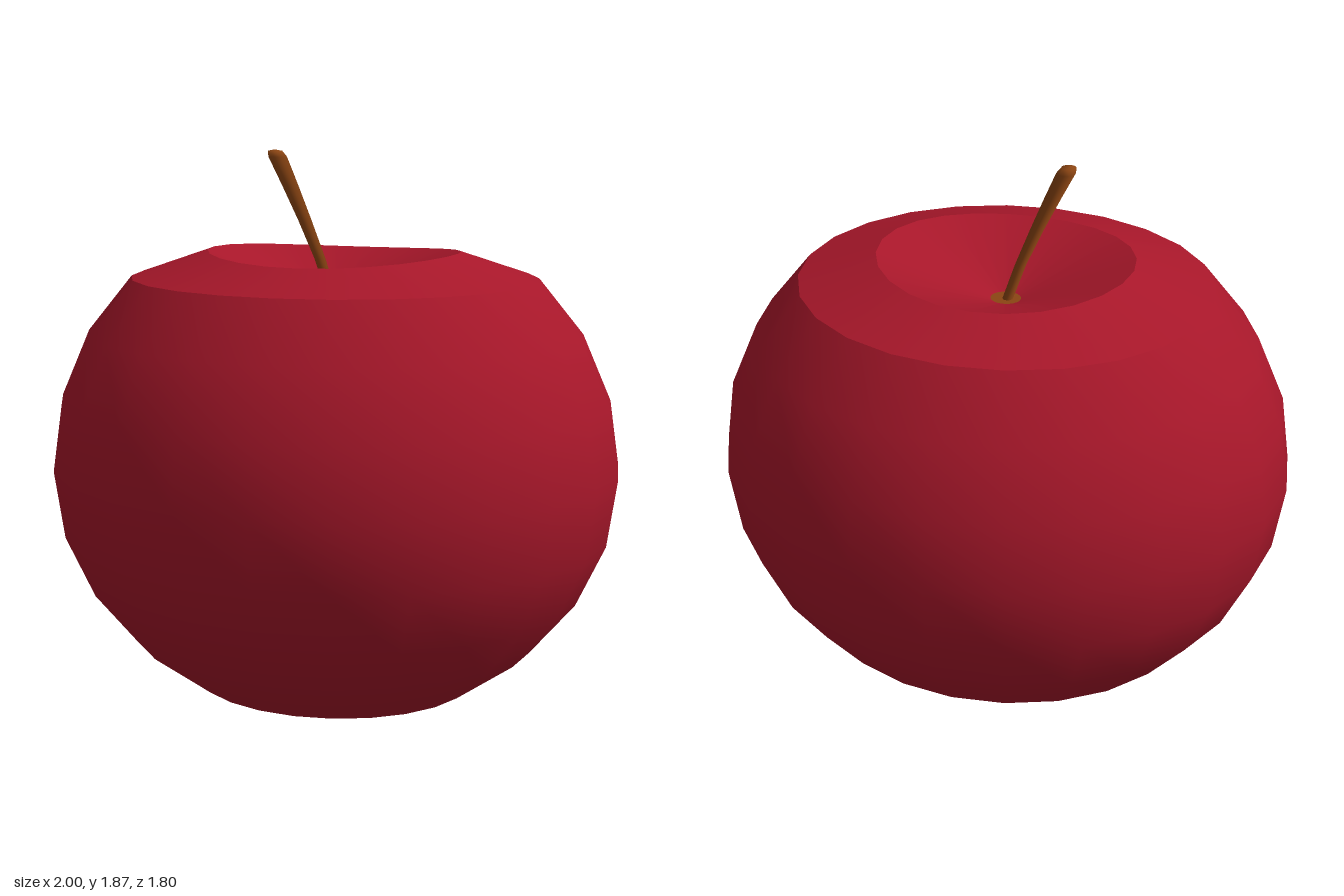
import * as THREE from 'three';

const SEGMENTS = 24, DEPTH = 0.9, RIM_Y = 1.53;
const red = new THREE.MeshStandardMaterial({ color: 0xa8172a });
const brown = new THREE.MeshStandardMaterial({ color: 0x8b4513 });

// Revolved band, listed from the bottom outward and up, narrowed front to back
function band(name, profile, material, depth = DEPTH) {
  const points = profile.map(([r, y]) => new THREE.Vector2(r, y));
  const geometry = new THREE.LatheGeometry(points, SEGMENTS);
  geometry.scale(1, 1, depth);
  // The rim sags a little at the front and back
  const pos = geometry.attributes.position;
  for (let i = 0; i < pos.count; i++) {
    if (Math.abs(pos.getY(i) - RIM_Y) < 0.001) {
      pos.setY(i, RIM_Y - 0.025 * (pos.getZ(i) / 0.4) ** 2);
    }
  }
  geometry.computeBoundingSphere();
  const mesh = new THREE.Mesh(geometry, material);
  mesh.name = name;
  return mesh;
}

// Tapered stalk, sheared along a gentle curve towards -x
function makeStem() {
  const base = 1.35, top = 1.87;
  const profile = [[0.018, base], [0.019, 1.5], [0.023, 1.63], [0.028, 1.75], [0.032, 1.845], [0.025, 1.865], [0, top]];
  const geometry = new THREE.LatheGeometry(profile.map(([r, y]) => new THREE.Vector2(r, y)), 10);
  const pos = geometry.attributes.position;
  for (let i = 0; i < pos.count; i++) {
    const t = (pos.getY(i) - base) / (top - base);
    pos.setX(i, pos.getX(i) - 0.215 * Math.pow(Math.max(t, 0), 1.15));
  }
  const mesh = new THREE.Mesh(geometry, brown);
  mesh.name = 'stem';
  return mesh;
}

export function createModel() {
  const model = new THREE.Group();
  model.name = 'apple';
  model.add(
    // Flat underside with a small brown centre
    band('bottomCentre', [[0, 0], [0.05, 0]], brown, 1),
    band('underside', [[0.05, 0], [0.5, 0]], red),
    // Rounded flesh
    band('body', [
      [0.5, 0], [0.71, 0.15], [0.866, 0.335], [0.966, 0.55], [1, 0.785],
      [0.966, 1.015], [0.866, 1.245], [0.71, 1.437],
    ], red),
    // Shoulder up to the rim, then the hollow around the stem
    band('shoulder', [[0.71, 1.437], [0.44, RIM_Y]], red),
    band('hollow', [[0.44, RIM_Y], [0.05, 1.37]], red),
    band('stemScar', [[0.052, 1.371], [0, 1.37]], brown, 1),
    makeStem(),
  );
  return model;
}
